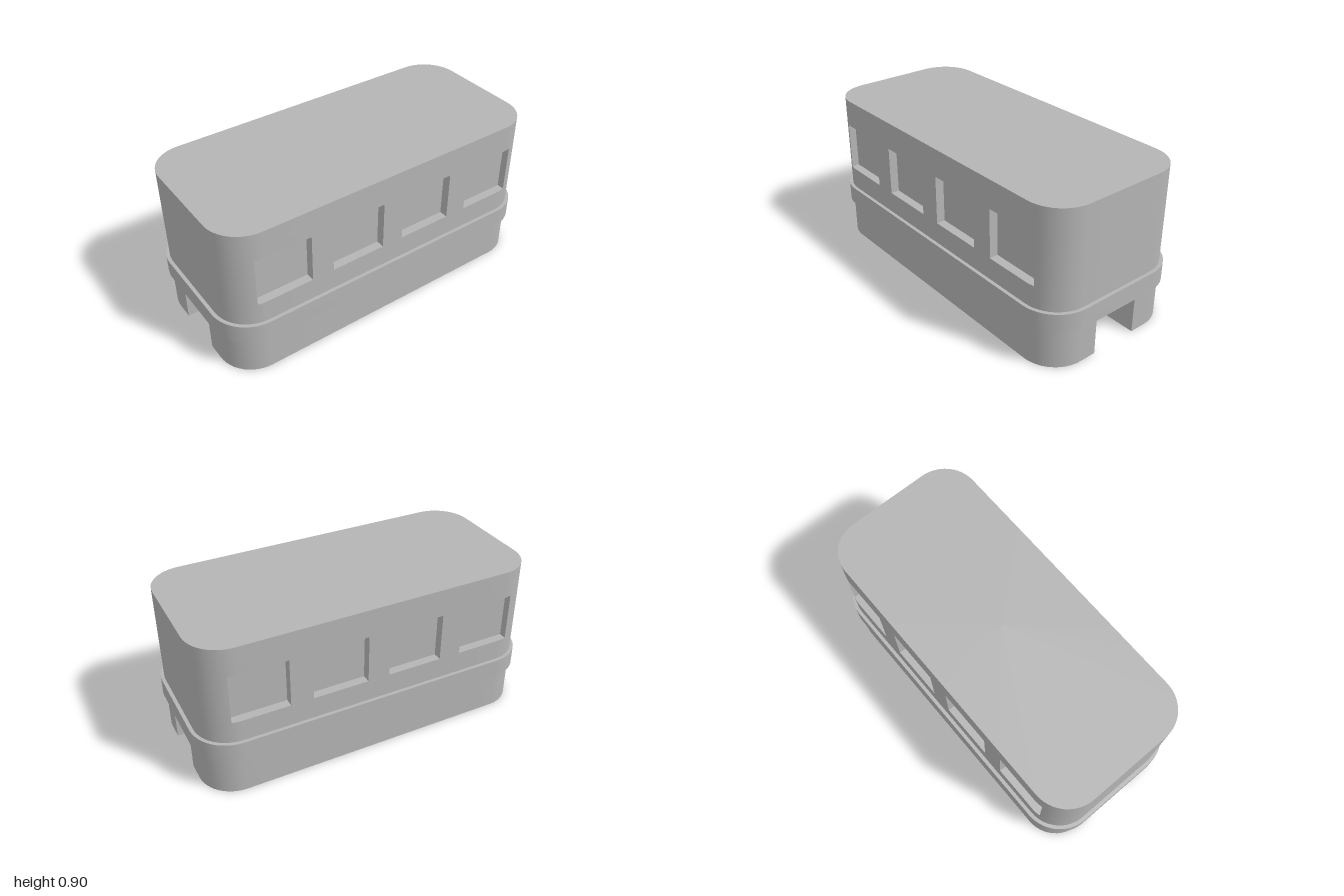
import * as THREE from 'three';
import { toCreasedNormals } from 'three/addons/utils/BufferGeometryUtils.js';

const HX = 0.98, HZ = 0.44, R = 0.2;            // body half sizes and corner radius
const HEIGHT = 0.9, SLOT_TOP = 0.205, SLOT = 0.14; // underside slot
const SILL = 0.46, HEAD = 0.74, RECESS = 0.39;  // window opening and pane plane
const WINDOWS = [[0.064, 0.384], [0.512, HX - R + R * Math.cos(Math.PI * 75 / 180)]];
const STEPS = 12;

// Plan outline of the body, with points at every slot and window edge
function bodyOutline() {
  const quarter = [[HX, SLOT]];
  for (let i = 0; i <= STEPS; i++) {
    const a = (i / STEPS) * Math.PI / 2;
    quarter.push([HX - R + R * Math.cos(a), HZ - R + R * Math.sin(a)]);
  }
  for (const x of [0.512, 0.384, 0.064]) quarter.push([x, HZ]);
  const mirror = (sx, sz) => quarter.map(([x, z]) => [x * sx, z * sz]);
  return [...quarter, ...mirror(-1, 1).reverse(), ...mirror(-1, -1), ...mirror(1, -1).reverse()];
}

function bodyGeometry() {
  const pos = [];
  const tri = (...pts) => pts.forEach(p => pos.push(...p));
  const quad = (a, b, c, d) => { tri(a, b, c); tri(a, c, d); };
  const at = ([x, z], y) => [x, y, z];
  const inset = ([x, z]) => [x, Math.sign(z) * RECESS];
  const outline = bodyOutline(), n = outline.length;
  const levels = [0, SLOT_TOP, SILL, HEAD, HEIGHT];

  const isWindow = i => {
    const p = outline[(i + n) % n], q = outline[(i + 1 + n) % n];
    const mx = Math.abs(p[0] + q[0]) / 2, mz = Math.abs(p[1] + q[1]) / 2;
    return mz > RECESS && WINDOWS.some(([a, b]) => mx > a && mx < b);
  };

  for (let i = 0; i < n; i++) {
    const p = outline[i], q = outline[(i + 1) % n];
    const win = isWindow(i);
    const slot = Math.abs(p[1] + q[1]) < 0.01 && Math.abs(p[0]) > 0.9;

    // Outer wall, leaving the openings free
    for (let k = 0; k < 4; k++) {
      if ((win && k === 2) || (slot && k === 0)) continue;
      const y0 = levels[k], y1 = levels[k + 1];
      quad(at(p, y0), at(p, y1), at(q, y1), at(q, y0));
    }

    // Recessed pane with its sill, head and side reveals
    if (win) {
      const pi = inset(p), qi = inset(q);
      quad(at(pi, SILL), at(pi, HEAD), at(qi, HEAD), at(qi, SILL));
      quad(at(p, SILL), at(pi, SILL), at(qi, SILL), at(q, SILL));
      quad(at(p, HEAD), at(q, HEAD), at(qi, HEAD), at(pi, HEAD));
      if (!isWindow(i - 1)) quad(at(p, SILL), at(p, HEAD), at(pi, HEAD), at(pi, SILL));
      if (!isWindow(i + 1)) quad(at(q, SILL), at(qi, SILL), at(qi, HEAD), at(q, HEAD));
    }

    // Roof and the two undersides beside the slot
    tri([0, HEIGHT, 0], at(q, HEIGHT), at(p, HEIGHT));
    if (p[1] * q[1] > 0) tri([0, 0, Math.sign(p[1]) * SLOT], at(p, 0), at(q, 0));
  }

  // Slot ceiling and walls
  const T = SLOT_TOP, S = SLOT;
  quad([-HX, T, -S], [HX, T, -S], [HX, T, S], [-HX, T, S]);
  quad([-HX, 0, S], [-HX, T, S], [HX, T, S], [HX, 0, S]);
  quad([HX, 0, -S], [HX, T, -S], [-HX, T, -S], [-HX, 0, -S]);

  const geo = new THREE.BufferGeometry();
  geo.setAttribute('position', new THREE.Float32BufferAttribute(pos, 3));
  return toCreasedNormals(geo, Math.PI / 6);
}

// Rounded rectangle path
function roundedRect(path, w, h, r) {
  path.moveTo(w, r - h);
  path.absarc(w - r, h - r, r, 0, Math.PI / 2);
  path.absarc(r - w, h - r, r, Math.PI / 2, Math.PI);
  path.absarc(r - w, r - h, r, Math.PI, Math.PI * 1.5);
  path.absarc(w - r, r - h, r, Math.PI * 1.5, Math.PI * 2);
  return path;
}

// Raised belt around the body
function beltGeometry() {
  const shape = roundedRect(new THREE.Shape(), 1, 0.46, 0.22);
  shape.holes.push(roundedRect(new THREE.Path(), HX - 0.01, HZ - 0.01, R - 0.01));
  const geo = new THREE.ExtrudeGeometry(shape, { depth: 0.11, bevelEnabled: false, curveSegments: STEPS });
  geo.rotateX(-Math.PI / 2).translate(0, 0.225, 0);
  return toCreasedNormals(geo, Math.PI / 6);
}

export function createModel() {
  const grey = new THREE.MeshStandardMaterial({ color: 0xb4b4b4 });
  grey.name = 'grey';
  const group = new THREE.Group();
  group.name = 'carriage';
  const add = (name, geometry) => {
    const mesh = new THREE.Mesh(geometry, grey);
    mesh.name = name;
    group.add(mesh);
  };
  add('body', bodyGeometry());
  add('belt', beltGeometry());
  return group;
}
